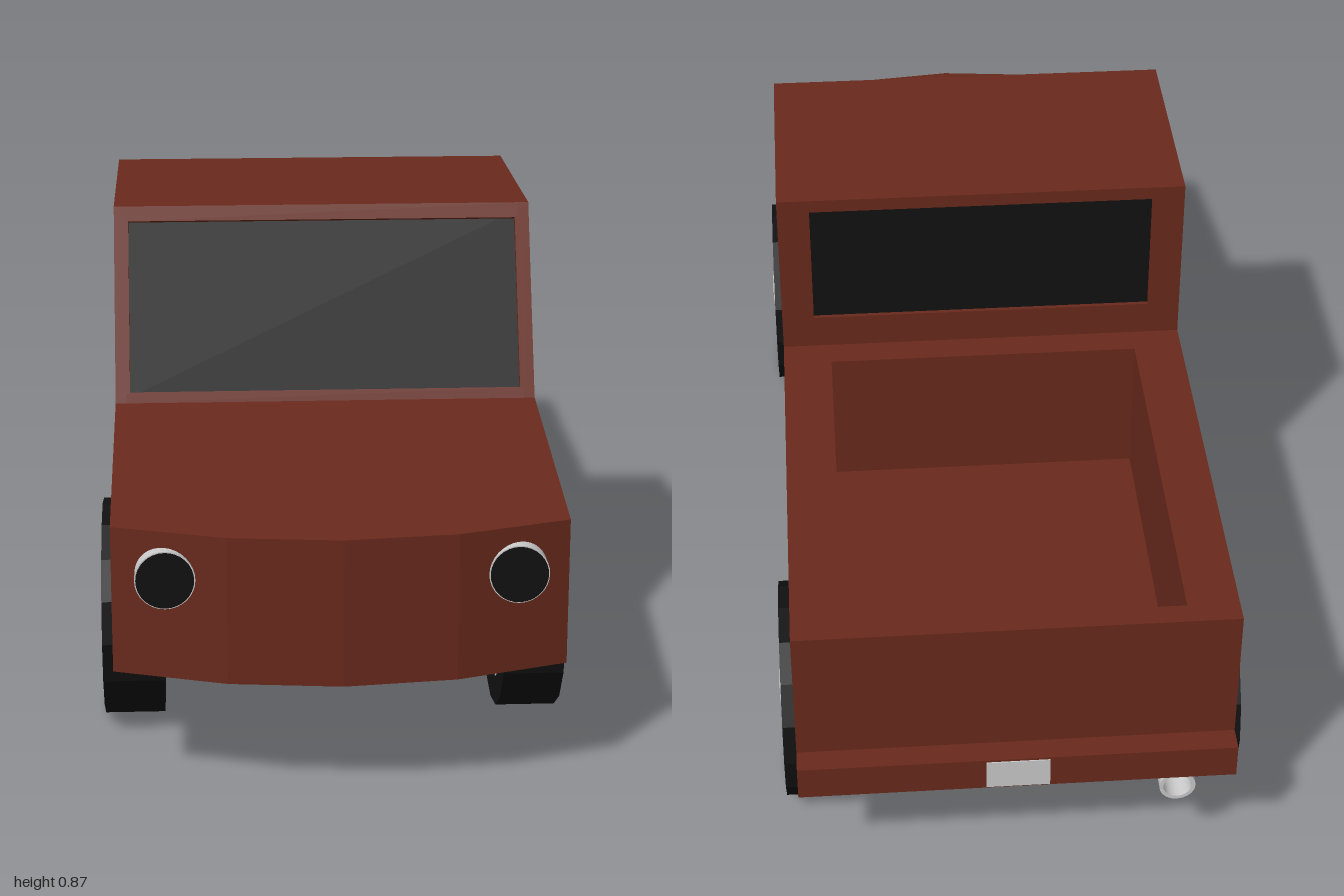
import * as THREE from 'three';

const mat = (color, extra = {}) => new THREE.MeshStandardMaterial({ color, ...extra });
const paint = mat(0x69291c, { flatShading: true });
const black = mat(0x111111, { flatShading: true });
const grey = mat(0xcccccc, { side: THREE.DoubleSide });

const HALF = 0.38, SILL = 0.215, BELT = 0.54, ROOF = 0.87;

function add(parent, name, geometry, material, x = 0, y = 0, z = 0) {
  const mesh = new THREE.Mesh(geometry, material);
  mesh.name = name;
  mesh.position.set(x, y, z);
  parent.add(mesh);
  return mesh;
}
const outline = pts => pts.map(p => new THREE.Vector2(...p));
const rect = (x0, y0, x1, y1) => [[x0, y0], [x1, y0], [x1, y1], [x0, y1]];

// flat plate with cut-outs, thickness along +z
function plate(outer, holes, depth) {
  const shape = new THREE.Shape(outline(outer));
  holes.forEach(h => shape.holes.push(new THREE.Path(outline(h))));
  return new THREE.ExtrudeGeometry(shape, { depth, bevelEnabled: false });
}

// nose with a bowed front and sloping bonnet
function noseGeometry() {
  const g = new THREE.BoxGeometry(2 * HALF, BELT - SILL, 1, 4, 1, 1);
  const p = g.attributes.position;
  for (let i = 0; i < p.count; i++) {
    const x = p.getX(i), front = p.getZ(i) > 0, top = p.getY(i) > 0;
    p.setZ(i, front ? 0.998 - 0.083 * (x / HALF) ** 2 : 0.45);
    p.setY(i, top ? (front ? 0.47 : BELT) : SILL);
  }
  const flat = g.toNonIndexed();
  flat.computeVertexNormals();
  return flat;
}

function buildCab() {
  const cab = new THREE.Group();
  cab.name = 'cab';

  // side frames with window openings
  const side = [[0.45, BELT], [0.30, ROOF], [-0.13, ROOF], [-0.13, BELT]];
  const sideWindow = [[0.39, 0.575], [0.278, 0.835], [-0.095, 0.835], [-0.095, 0.575]];
  for (const x of [-HALF, HALF - 0.02]) {
    // profile x becomes z, thickness becomes x
    const g = plate(side.map(([z, y]) => [-z, y]), [sideWindow.map(([z, y]) => [-z, y])], 0.02);
    g.rotateY(Math.PI / 2);
    add(cab, 'cabSideFrame', g, paint, x);
  }

  // windscreen frame, leaning back
  const lean = Math.atan2(0.15, ROOF - BELT), length = Math.hypot(0.15, ROOF - BELT);
  const screen = plate(rect(-HALF, 0, HALF, length), [rect(-0.354, 0.02, 0.354, length - 0.028)], 0.015);
  screen.translate(0, 0, -0.015);
  add(cab, 'windscreenFrame', screen, paint, 0, BELT, 0.45).rotation.x = -lean;

  // rear window frame and roof
  add(cab, 'rearWindowFrame',
    plate(rect(-HALF, BELT, HALF, ROOF), [rect(-0.32, 0.605, 0.32, 0.845)], 0.02), paint, 0, 0, -0.13);
  add(cab, 'roof', new THREE.BoxGeometry(2 * HALF, 0.02, 0.43), paint, 0, ROOF - 0.01, 0.085);

  // dark glass block set just behind the frames
  const glass = plate([[-0.44, BELT], [-0.293, 0.86], [0.122, 0.86], [0.122, BELT]], [], 0.744);
  glass.rotateY(Math.PI / 2);
  add(cab, 'windowGlass', glass, black, -0.372);
  return cab;
}

function buildWheel() {
  const wheel = new THREE.Group();
  const ring = (inner, outer, z0, z1, sides) => new THREE.LatheGeometry(
    outline([[inner, z0], [outer, z0], [outer, z1], [inner, z1], [inner, z0]]), sides).rotateX(Math.PI / 2);

  add(wheel, 'tyre', ring(0.144, 0.193, -0.053, 0.053, 16), black);

  // rim disc with nine slots
  const disc = new THREE.Shape().absarc(0, 0, 0.146, 0, Math.PI * 2);
  for (let i = 0; i < 9; i++) {
    const a = Math.PI / 2 + i * Math.PI * 2 / 9;
    const slot = rect(0.07, -0.02, 0.1, 0.02).map(([r, t]) =>
      [r * Math.cos(a) - t * Math.sin(a), r * Math.sin(a) + t * Math.cos(a)]);
    disc.holes.push(new THREE.Path(outline(slot)));
  }
  const rim = mat(0xcccccc, { flatShading: true });
  add(wheel, 'rimDisc', new THREE.ExtrudeGeometry(disc,
    { depth: 0.012, bevelEnabled: false, curveSegments: 16 }), rim, 0, 0, 0.034);
  add(wheel, 'rimBarrel', ring(0.138, 0.146, -0.05, 0.05, 32), rim);
  add(wheel, 'hub', ring(0.02, 0.035, 0.03, 0.058, 16), rim);
  add(wheel, 'hubCap', new THREE.CylinderGeometry(0.021, 0.021, 0.09, 12).rotateX(Math.PI / 2), rim, 0, 0, 0.007);
  return wheel;
}

export function createModel() {
  const truck = new THREE.Group();
  truck.name = 'pickupTruck';

  // body
  add(truck, 'nose', noseGeometry(), paint);
  const FLOOR = 0.27;
  add(truck, 'chassisFloor', new THREE.BoxGeometry(2 * HALF, FLOOR - SILL, 1.405), paint,
    0, (FLOOR + SILL) / 2, -0.2525);
  const walls = plate(rect(-HALF, -0.45, HALF, 0.955), [rect(-0.29, 0.185, 0.29, 0.915)], BELT - FLOOR);
  walls.rotateX(-Math.PI / 2);
  add(truck, 'bodyAndBedWalls', walls, paint, 0, FLOOR, 0);
  truck.add(buildCab());

  // rear bumper and plate
  add(truck, 'rearBumper', new THREE.BoxGeometry(2 * HALF, 0.065, 0.043), paint, 0, 0.2475, -0.9765);
  add(truck, 'rearPlate', new THREE.BoxGeometry(0.11, 0.058, 0.01), grey, 0, 0.247, -0.995);

  // headlights
  for (const s of [-1, 1]) {
    add(truck, 'headlightHousing', new THREE.CylinderGeometry(0.05, 0.05, 0.09, 32).rotateX(Math.PI / 2),
      grey, s * 0.291, 0.393, 0.918);
    add(truck, 'headlightLens', new THREE.CylinderGeometry(0.048, 0.048, 0.006, 32).rotateX(Math.PI / 2),
      black, s * 0.291, 0.393, 0.962);
  }

  // wheels
  for (const z of [0.553, -0.702]) for (const s of [-1, 1]) {
    const wheel = buildWheel();
    wheel.name = z > 0 ? 'frontWheel' : 'rearWheel';
    wheel.position.set(s * 0.351, 0.193, z);
    wheel.rotation.y = s * Math.PI / 2;
    truck.add(wheel);
  }

  // exhaust pipe bending up into the floor
  const path = new THREE.CatmullRomCurve3([[0.173, -0.978], [0.173, -0.93], [0.173, -0.88], [0.19, -0.835], [0.24, -0.81]]
    .map(([y, z]) => new THREE.Vector3(-0.282, y, z)));
  add(truck, 'exhaustPipe', new THREE.TubeGeometry(path, 24, 0.032, 20), grey);
  add(truck, 'exhaustLip', new THREE.RingGeometry(0.025, 0.032, 20), grey, -0.282, 0.173, -0.978);
  add(truck, 'exhaustBore', new THREE.CylinderGeometry(0.025, 0.025, 0.09, 20, 1, true).rotateX(Math.PI / 2),
    grey, -0.282, 0.173, -0.933);
  return truck;
}
